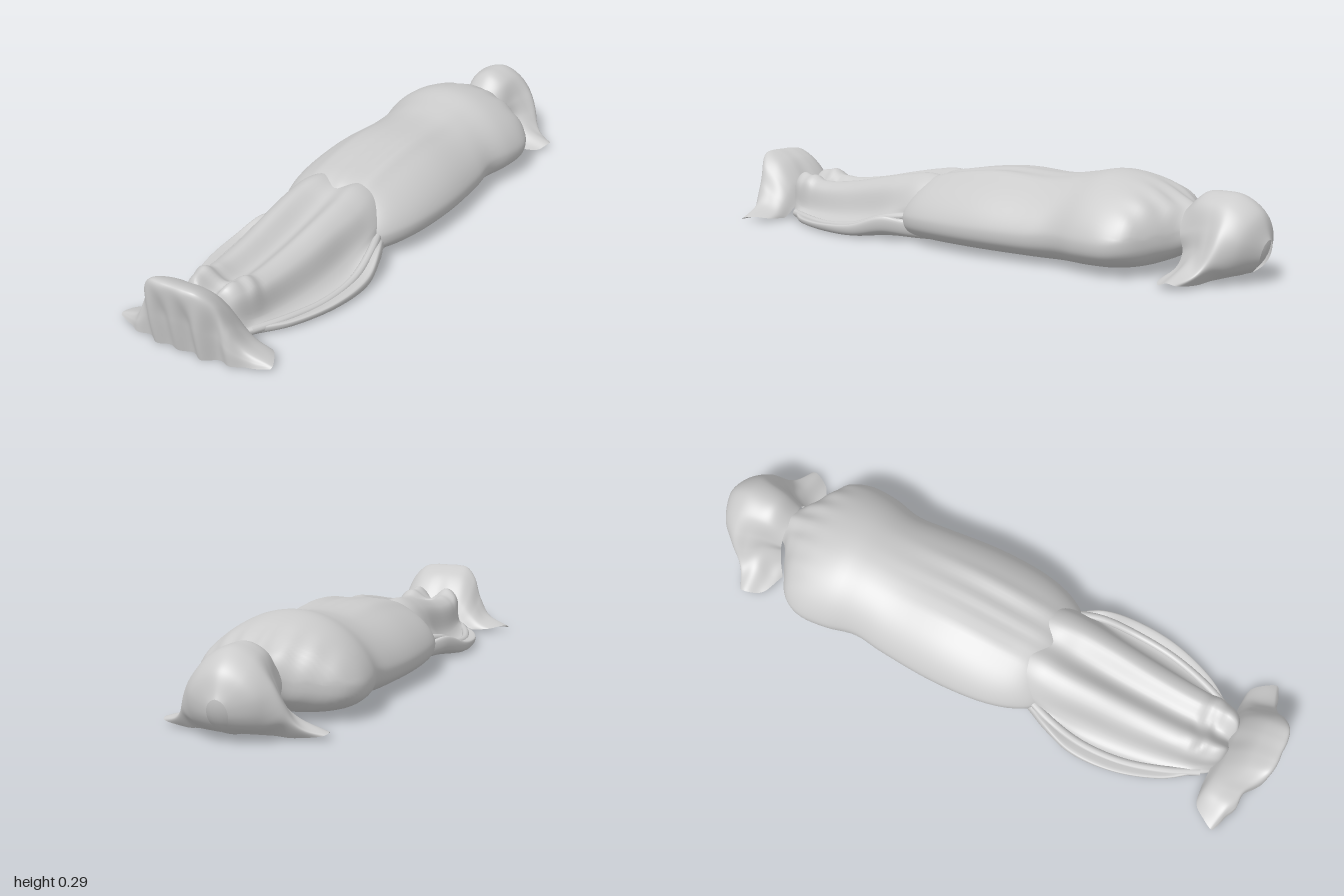
import * as THREE from 'three';
import { mergeVertices } from 'three/addons/utils/BufferGeometryUtils.js';

const cloth = new THREE.MeshStandardMaterial({ color: 0xcccccc, side: THREE.DoubleSide });
const V = (x, y, z) => new THREE.Vector3(x, y, z);

// Smooth surface through rows of points (each row starts on the centre line and
// is mirrored to the other side); fold() then nudges points into wrinkles.
function drape(name, halfRows, fold, I = 60, J = 112) {
  const across = halfRows.map(half => {
    const mirrored = half.slice(1).reverse().map(p => V(-p.x, p.y, p.z));
    return new THREE.CatmullRomCurve3([...mirrored, ...half]).getPoints(J);
  });
  const pos = [], index = [];
  for (let j = 0; j <= J; j++) {
    const along = new THREE.CatmullRomCurve3(across.map(r => r[j])).getPoints(I);
    for (const p of along) {
      fold(p);
      pos.push(p.x, Math.max(p.y, 0), p.z);
    }
  }
  const W = I + 1;
  for (let j = 0; j < J; j++) for (let i = 0; i < I; i++) {
    const a = j * W + i, b = a + 1, c = a + W, d = c + 1;
    index.push(a, b, c, b, d, c);
  }
  let geo = new THREE.BufferGeometry();
  geo.setAttribute('position', new THREE.Float32BufferAttribute(pos, 3));
  geo.setIndex(index);
  geo = mergeVertices(geo, 1e-5);
  geo.computeVertexNormals();
  const mesh = new THREE.Mesh(geo, cloth);
  mesh.name = name;
  return mesh;
}

const ridge = (x, at, width) => Math.exp(-(((x - at) / width) ** 2));
const triples = a => Array.from({ length: a.length / 3 }, (_, k) => V(a[3 * k], a[3 * k + 1], a[3 * k + 2]));

// Wrapped torso: z, half width, top, bottom, height of widest point
function torso() {
  const sections = [
    [-0.80, 0.05, 0.17, 0.09, 0.13], [-0.75, 0.07, 0.205, 0.07, 0.13],
    [-0.71, 0.14, 0.225, 0.05, 0.12], [-0.66, 0.225, 0.25, 0.025, 0.11],
    [-0.60, 0.255, 0.272, 0.012, 0.10], [-0.50, 0.252, 0.287, 0.005, 0.10],
    [-0.40, 0.23, 0.27, 0.003, 0.10], [-0.30, 0.24, 0.256, 0.003, 0.09],
    [-0.10, 0.254, 0.26, 0.003, 0.09], [0.08, 0.242, 0.238, 0.003, 0.09],
    [0.18, 0.212, 0.214, 0.003, 0.085], [0.235, 0.175, 0.17, 0.005, 0.08],
    [0.26, 0.12, 0.14, 0.03, 0.08], [0.265, 0.01, 0.1, 0.08, 0.09],
  ];
  const rows = sections.map(([z, w, top, bottom, mid]) => Array.from({ length: 15 }, (_, k) => {
    const a = Math.PI * (0.5 - k / 14), s = Math.sin(a), c = Math.max(Math.cos(a), 0);
    const y = s > 0 ? mid + s ** 1.3 * (top - mid) : mid - (-s) ** 0.75 * (mid - bottom);
    return V(w * c ** (s > 0 ? 1 : 0.75), y, z);
  }));
  // lengthwise pleats over the belly and small pulls at the neck
  return drape('wrappedTorso', rows, p => {
    if (p.y < 0.12) return;
    const belly = ridge(p.z, 0, 0.25), neck = ridge(p.z, -0.7, 0.07);
    p.y += belly * (0.007 * ridge(p.x, 0.09, 0.022) - 0.009 * ridge(p.x, 0.04, 0.025)
      + 0.005 * ridge(p.x, -0.1, 0.025) - 0.006 * ridge(p.x, -0.02, 0.02));
    p.y += neck * 0.004 * Math.cos(p.x * 90);
  });
}

// Legs under cloth with the loose sheet spread beside them: z, then x,y pairs
function legs() {
  const sections = [
    [0.08, 0, 0.18, 0.07, 0.19, 0.11, 0.17, 0.14, 0.12, 0.15, 0.08, 0.15, 0.06, 0.14, 0.02],
    [0.20, 0, 0.195, 0.07, 0.216, 0.125, 0.188, 0.165, 0.12, 0.17, 0.08, 0.18, 0.06, 0.17, 0.02],
    [0.29, 0, 0.172, 0.075, 0.206, 0.132, 0.172, 0.165, 0.1, 0.185, 0.075, 0.22, 0.08, 0.215, 0.03],
    [0.40, 0, 0.145, 0.072, 0.186, 0.125, 0.155, 0.155, 0.07, 0.19, 0.04, 0.25, 0.045, 0.245, 0.012],
    [0.55, 0, 0.12, 0.065, 0.156, 0.115, 0.13, 0.145, 0.05, 0.18, 0.025, 0.242, 0.03, 0.235, 0.008],
    [0.70, 0, 0.108, 0.06, 0.142, 0.105, 0.12, 0.125, 0.045, 0.15, 0.025, 0.19, 0.025, 0.185, 0.008],
    [0.78, 0, 0.12, 0.06, 0.16, 0.10, 0.13, 0.11, 0.05, 0.12, 0.035, 0.135, 0.025, 0.13, 0.008],
    [0.835, 0, 0.10, 0.05, 0.15, 0.08, 0.12, 0.085, 0.06, 0.09, 0.03, 0.095, 0.02, 0.09, 0.01],
    [0.86, 0, 0.06, 0.02, 0.07, 0.03, 0.06, 0.035, 0.04, 0.037, 0.03, 0.038, 0.025, 0.035, 0.02],
  ];
  const rows = sections.map(([z, ...xy]) => {
    const pts = [];
    for (let k = 0; k < xy.length; k += 2) pts.push(V(xy[k], xy[k + 1], z));
    const x = pts.at(-1).x;
    return [...pts, V(x * 0.5, 0.003, z), V(0, 0.003, z)];
  });
  // bunched creases at the ankles
  return drape('wrappedLegs', rows, p => {
    if (p.y > 0.07) p.y += 0.006 * ridge(p.z, 0.76, 0.045) * Math.sin(p.z * 85 + Math.sin(p.x * 30) * 1.5);
  });
}

// Rolled folds lying on the loose sheet beside the legs
function sideFolds() {
  const group = new THREE.Group();
  group.name = 'sideFolds';
  for (const side of [1, -1]) {
    const path = triples([0.16, 0.085, 0.2, 0.195, 0.072, 0.3, 0.21, 0.036, 0.42, 0.2, 0.022, 0.56,
      0.16, 0.022, 0.7, 0.115, 0.022, 0.8]).map(p => V(p.x * side, p.y, p.z));
    const fold = new THREE.Mesh(new THREE.TubeGeometry(new THREE.CatmullRomCurve3(path), 40, 0.013, 10), cloth);
    fold.name = side > 0 ? 'leftSideFold' : 'rightSideFold';
    group.add(fold);
  }
  return group;
}

// Cloth over the feet: from the ankles, over the toes and down the front
function footCover() {
  const rows = [
    [0, 0.07, 0.825, 0.03, 0.07, 0.825, 0.06, 0.06, 0.825, 0.09, 0.045, 0.825, 0.11, 0.03, 0.825, 0.13, 0.015, 0.825, 0.15, 0.005, 0.825],
    [0, 0.125, 0.855, 0.04, 0.13, 0.855, 0.08, 0.12, 0.855, 0.11, 0.09, 0.85, 0.14, 0.055, 0.845, 0.17, 0.03, 0.84, 0.215, 0.012, 0.835],
    [0, 0.2, 0.92, 0.04, 0.2, 0.92, 0.085, 0.19, 0.92, 0.12, 0.15, 0.91, 0.148, 0.09, 0.9, 0.18, 0.045, 0.885, 0.25, 0.018, 0.875],
    [0, 0.222, 0.995, 0.04, 0.222, 0.995, 0.08, 0.216, 0.988, 0.118, 0.18, 0.965, 0.148, 0.11, 0.94, 0.185, 0.05, 0.925, 0.267, 0.014, 0.905],
    [0, 0.11, 0.975, 0.045, 0.11, 0.985, 0.085, 0.1, 0.975, 0.125, 0.08, 0.965, 0.155, 0.055, 0.95, 0.19, 0.028, 0.938, 0.267, 0.012, 0.91],
    [0, 0.002, 0.955, 0.05, 0.002, 0.965, 0.09, 0.002, 0.958, 0.125, 0.002, 0.952, 0.16, 0.002, 0.948, 0.2, 0.003, 0.94, 0.265, 0.008, 0.915],
  ].map(triples);
  // hanging folds across the front
  return drape('footCover', rows, p => {
    const hang = THREE.MathUtils.smoothstep(0.215 - p.y, 0, 0.12) * THREE.MathUtils.smoothstep(p.z, 0.92, 0.97);
    p.z += 0.011 * hang * Math.cos(p.x * 75 + 0.6);
  });
}

// Hood over the head, its corners spreading onto the ground at each side
function hood() {
  const rows = [
    [0, 0.13, -1, 0.02, 0.12, -0.997, 0.03, 0.1, -0.992, 0.03, 0.075, -0.985, 0.02, 0.05, -0.972, 0.005, 0.03, -0.95],
    [0, 0.205, -0.972, 0.06, 0.18, -0.965, 0.1, 0.13, -0.955, 0.105, 0.08, -0.945, 0.095, 0.045, -0.93, 0.07, 0.02, -0.905],
    [0, 0.248, -0.91, 0.065, 0.222, -0.91, 0.118, 0.16, -0.91, 0.145, 0.1, -0.905, 0.155, 0.055, -0.895, 0.155, 0.012, -0.86],
    [0, 0.254, -0.85, 0.062, 0.23, -0.85, 0.105, 0.16, -0.86, 0.14, 0.1, -0.865, 0.178, 0.05, -0.86, 0.245, 0.018, -0.835],
    [0, 0.248, -0.8, 0.06, 0.22, -0.8, 0.09, 0.15, -0.81, 0.11, 0.095, -0.82, 0.15, 0.05, -0.81, 0.22, 0.012, -0.77],
    [0, 0.2, -0.745, 0.05, 0.185, -0.75, 0.08, 0.13, -0.755, 0.08, 0.08, -0.765, 0.1, 0.04, -0.76, 0.14, 0.005, -0.735],
  ].map(triples);
  // soft pleats running down to the corners
  return drape('hood', rows, p => {
    const low = THREE.MathUtils.smoothstep(Math.abs(p.x), 0.09, 0.16);
    p.y += 0.005 * low * Math.sin(p.z * 75);
  });
}

export function createModel() {
  const model = new THREE.Group();
  model.name = 'shroudedFigure';

  // Covered head inside the hood, closing its underside
  const head = new THREE.Mesh(new THREE.SphereGeometry(1, 32, 24), cloth);
  head.name = 'head';
  head.scale.set(0.1, 0.115, 0.122);
  head.position.set(0, 0.125, -0.872);

  model.add(torso(), legs(), sideFolds(), footCover(), hood(), head);
  return model;
}
